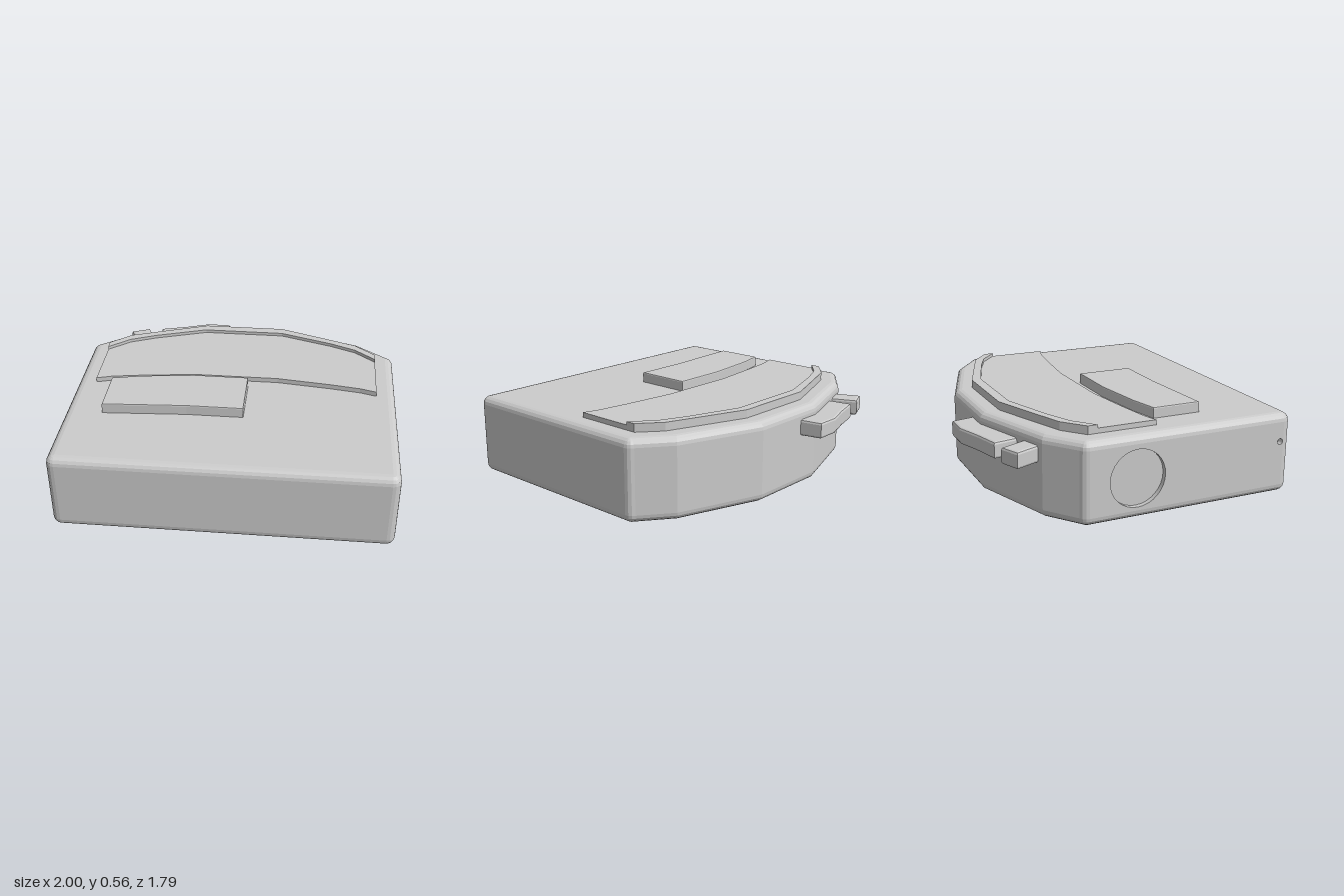
import * as THREE from 'three';

const grey = new THREE.MeshStandardMaterial({ color: 0xcccccc, flatShading: true });
const greyThin = new THREE.MeshStandardMaterial({ color: 0xcccccc, side: THREE.DoubleSide });

const H = 0.49, R = 0.05;
const WALL = { z0: -0.4, z1: 0.84, y0: R, y1: H - R };

function named(name, geometry, material = grey) {
  const mesh = new THREE.Mesh(geometry, material);
  mesh.name = name;
  return mesh;
}

// Mirror the right half of an open [x, z] line onto -x
const mirrored = (half) => [...half, ...half.map(([x, z]) => [-x, z]).reverse()];

// Horizontal plate from a plan outline of [x, z] points, with bevelled rims
function slab(name, points, y0, y1, bevel) {
  const shape = new THREE.Shape(points.map(([x, z]) => new THREE.Vector2(x, -z)));
  const geometry = new THREE.ExtrudeGeometry(shape, {
    depth: y1 - y0 - 2 * bevel, bevelEnabled: bevel > 0, bevelThickness: bevel,
    bevelSize: bevel, bevelOffset: -bevel, bevelSegments: 2,
  });
  geometry.rotateX(-Math.PI / 2).translate(0, y0 + bevel, 0);
  return named(name, geometry);
}

// Housing: rounded plan outline lofted through a rounded edge profile
function housing() {
  // Core corners: x, z, first and last normal angle in degrees, arc steps
  const half = [
    [0.95, 0.84, 90, 0, 4], [0.95, -0.4, 0, -70, 3],
    [0.75, -0.55, -50, -50, 0], [0.57, -0.61, -67, -67, 0], [0.25, -0.72, -80, -80, 0],
  ];
  const corners = [...half,
    ...half.map(([x, z, a, b, n]) => [-x, z, -180 - b, -180 - a, n]).reverse()];
  const ringAt = (rho, y) => corners.flatMap(([x, z, a, b, n]) =>
    Array.from({ length: n + 1 }, (_, i) => {
      const t = THREE.MathUtils.degToRad(a + (b - a) * (n ? i / n : 0));
      return [x + rho * Math.cos(t), y, z + rho * Math.sin(t)];
    }));

  const steps = 4, rings = [];
  for (let i = 0; i <= steps; i++) {
    const t = (i / steps) * Math.PI / 2;
    rings.push(ringAt(R * Math.sin(t), R - R * Math.cos(t)));
  }
  for (let i = steps; i >= 0; i--) {
    const t = (i / steps) * Math.PI / 2;
    rings.push(ringAt(R * Math.sin(t), H - R + R * Math.cos(t)));
  }

  const verts = [];
  const tri = (...p) => p.forEach((v) => verts.push(...v));
  const count = rings[0].length, last = rings.length - 1;
  for (let j = 0; j < count; j++) {
    const k = (j + 1) % count;
    for (let i = 0; i < last; i++) {
      const a = rings[i][j], b = rings[i][k], c = rings[i + 1][k], d = rings[i + 1][j];
      // The flat -x wall is left open for the panel with recesses
      if (i === steps && a[0] < -0.999 && b[0] < -0.999) continue;
      tri(a, b, c);
      tri(a, c, d);
    }
    tri([0, 0, 0], rings[0][k], rings[0][j]);
    tri([0, H, 0], rings[last][j], rings[last][k]);
  }
  const geometry = new THREE.BufferGeometry();
  geometry.setAttribute('position', new THREE.Float32BufferAttribute(verts, 3));
  geometry.computeVertexNormals();
  return named('housing', geometry);
}

// Side wall at -x with a round recess and a small pin hole
function sideWall() {
  const group = new THREE.Group();
  group.name = 'sideWall';
  const { z0, z1, y0, y1 } = WALL;
  const shape = new THREE.Shape([[z0, y0], [z1, y0], [z1, y1], [z0, y1]]
    .map(([z, y]) => new THREE.Vector2(z, y)));
  const recesses = [
    { name: 'roundRecess', z: -0.11, y: 0.24, r: 0.17, depth: 0.03 },
    { name: 'pinHole', z: 0.82, y: 0.32, r: 0.018, depth: 0.04 },
  ];
  for (const { name, z, y, r, depth } of recesses) {
    shape.holes.push(new THREE.Path().absarc(z, y, r, 0, Math.PI * 2, true));
    const rim = new THREE.CylinderGeometry(r, r, depth, 32, 1, true);
    rim.rotateZ(Math.PI / 2).translate(-1 + depth / 2, y, z);
    const floor = new THREE.CircleGeometry(r, 32);
    floor.rotateY(-Math.PI / 2).translate(-1 + depth, y, z);
    group.add(named(name + 'Rim', rim, greyThin), named(name + 'Floor', floor, greyThin));
  }
  const wall = new THREE.ShapeGeometry(shape, 16);
  wall.rotateY(-Math.PI / 2).translate(-1, 0, 0);
  group.add(named('sidePanel', wall));
  return group;
}

export function createModel() {
  const model = new THREE.Group();
  model.name = 'model';
  model.add(housing(), sideWall());

  // Curved cover plate and the raised rim along its back
  const front = mirrored([[0.88, 0.06], [0.78, 0.03], [0.59, 0], [0.26, -0.04]]);
  const rimInner = mirrored([[0.88, -0.3], [0.75, -0.41], [0.59, -0.48], [0.26, -0.59]]);
  const rimOuter = mirrored([[0.88, -0.36], [0.75, -0.47], [0.59, -0.53], [0.26, -0.65]]);
  model.add(slab('coverPlate', [...front, ...[...rimInner].reverse()], H - 0.02, 0.52, 0));
  model.add(slab('coverRim', [...rimInner, ...[...rimOuter].reverse()], H - 0.02, 0.54, 0));

  // Raised panel in front of the cover
  model.add(slab('raisedPanel', [
    [-0.77, 0.1], [-0.59, 0.06], [-0.26, 0.02], [0.08, 0.02],
    [0.08, 0.37], [-0.26, 0.37], [-0.77, 0.4],
  ], H - 0.02, 0.555, 0.008));

  // Buttons on the curved back
  model.add(slab('longButton', [
    [-0.605, -0.8], [-0.44, -0.845], [-0.28, -0.9], [-0.13, -0.9],
    [-0.1, -0.74], [-0.26, -0.72], [-0.57, -0.6],
  ], 0.32, 0.42, 0.015));
  model.add(slab('shortButton', [
    [-0.81, -0.74], [-0.69, -0.79], [-0.61, -0.6], [-0.73, -0.55],
  ], 0.32, 0.42, 0.015));

  return model;
}
